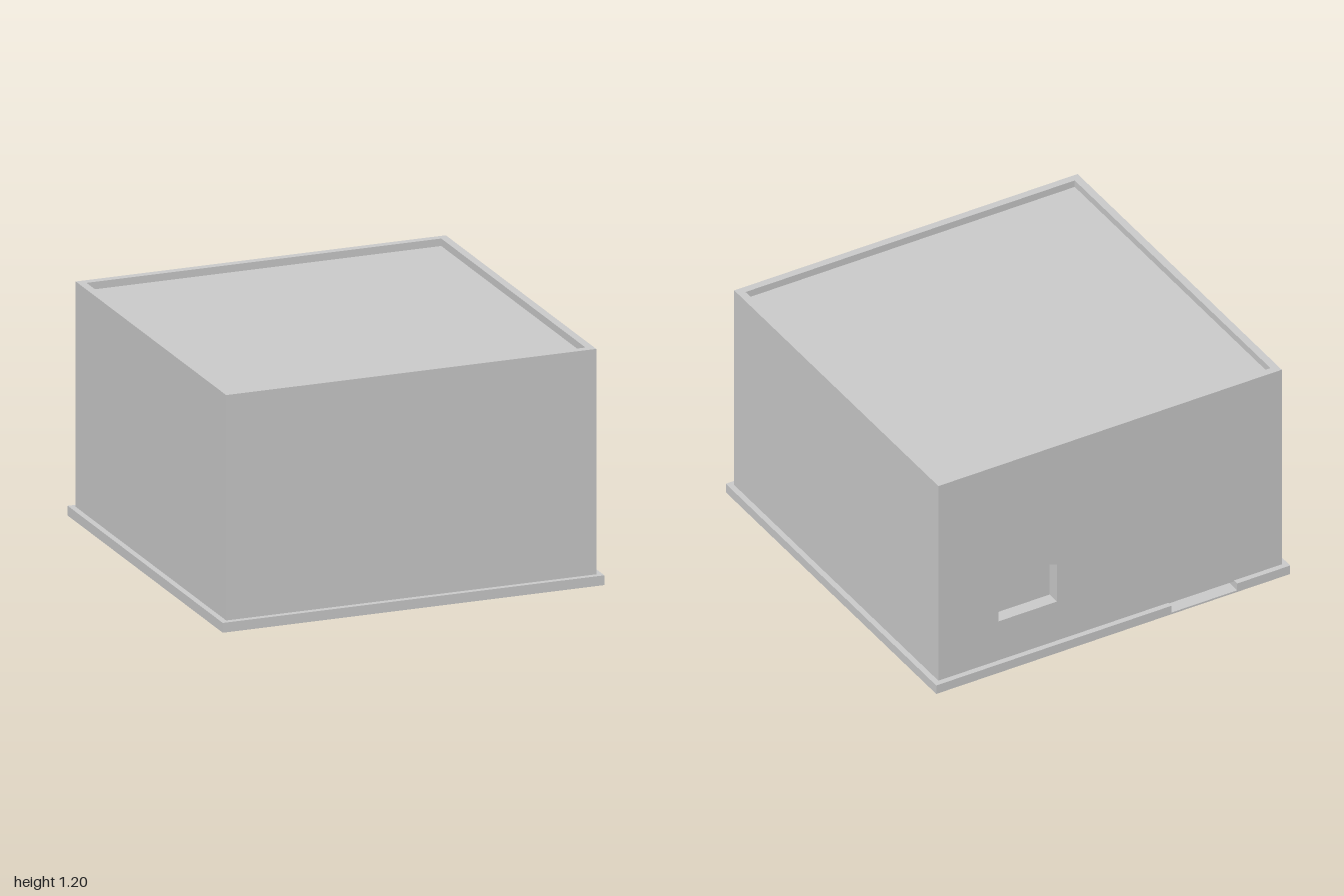
import * as THREE from 'three';

export function createModel() {
  const root = new THREE.Group();
  const mat = new THREE.MeshStandardMaterial({ color: 0xcccccc, flatShading: true });

  const add = (name, geo) => {
    const m = new THREE.Mesh(geo, mat);
    m.name = name;
    root.add(m);
    return m;
  };
  // box given by its limits on each axis
  const box = (name, x0, x1, y0, y1, z0, z1) =>
    add(name, new THREE.BoxGeometry(x1 - x0, y1 - y0, z1 - z0)
      .translate((x0 + x1) / 2, (y0 + y1) / 2, (z0 + z1) / 2));
  const points = (list) => list.map(([x, y]) => new THREE.Vector2(x, y));
  const plate = (outline, hole, depth) => {
    const shape = new THREE.Shape(points(outline));
    if (hole) shape.holes.push(new THREE.Path(points(hole)));
    return new THREE.ExtrudeGeometry(shape, { depth, bevelEnabled: false });
  };
  const square = (r) => [[-r, -r], [r, -r], [r, r], [-r, r]];

  const OUT = 0.97, IN = 0.93, TOP = 1.2;   // wall faces and height
  const LEDGE = 0.045, FLANGE = 0.05;       // flange sheet
  const T = 0.006;                          // thin sheet
  const N0 = -0.7, N1 = -0.33, NZ = -0.92;  // notch limits

  // walls
  box('frontWall', -OUT, OUT, LEDGE, TOP, IN, OUT);
  for (const s of [-1, 1]) {
    const a = s * IN, b = s * OUT;
    box(s > 0 ? 'leftWall' : 'rightWall', Math.min(a, b), Math.max(a, b), LEDGE, TOP, -IN, IN);
  }

  // back wall with a slanted pocket
  const pocket = [[0.30, 0.28], [0.63, 0.28], [0.63, 0.62], [0.30, 0.50]];
  const pocketRim = [[0.294, 0.274], [0.636, 0.274], [0.636, 0.63], [0.294, 0.506]];
  add('backWall', plate([[-OUT, LEDGE], [OUT, LEDGE], [OUT, TOP], [-OUT, TOP]], pocket, OUT - IN)
    .translate(0, 0, -OUT));
  add('pocketSides', plate(pocketRim, pocket, 0.03).translate(0, 0, -IN));
  add('pocketBack', plate(pocketRim, null, T).translate(0, 0, -0.90));

  // sunken roof
  box('roof', -IN, IN, 1.155, 1.162, -IN, IN);

  // flange around the foot, cut at the notch
  const outline = [[-1, -1], [1, -1], [1, 1], [N1, 1], [N1, OUT], [N0, OUT], [N0, 1], [-1, 1]];
  add('flangeTop', plate(outline, square(IN), FLANGE - LEDGE)
    .rotateX(-Math.PI / 2).translate(0, LEDGE, 0));
  box('frontSkirt', -1, 1, 0, LEDGE, 1 - T, 1);
  box('leftSkirt', 1 - T, 1, 0, LEDGE, -1, 1 - T);
  box('rightSkirt', -1, -1 + T, 0, LEDGE, -1, 1 - T);
  box('backSkirt', -1 + T, N0, 0, LEDGE, -1, -1 + T);
  box('backSkirt', N1, 1 - T, 0, LEDGE, -1, -1 + T);

  // notch tray
  box('notchFloor', N0, N1, 0, 0.01, -1, NZ);
  box('notchBack', N0 - T, N1 + T, 0, FLANGE, NZ, NZ + T);
  box('notchSide', N0 - T, N0, 0, LEDGE, -1 + T, NZ);
  box('notchSide', N1, N1 + T, 0, LEDGE, -1 + T, NZ);

  return root;
}
